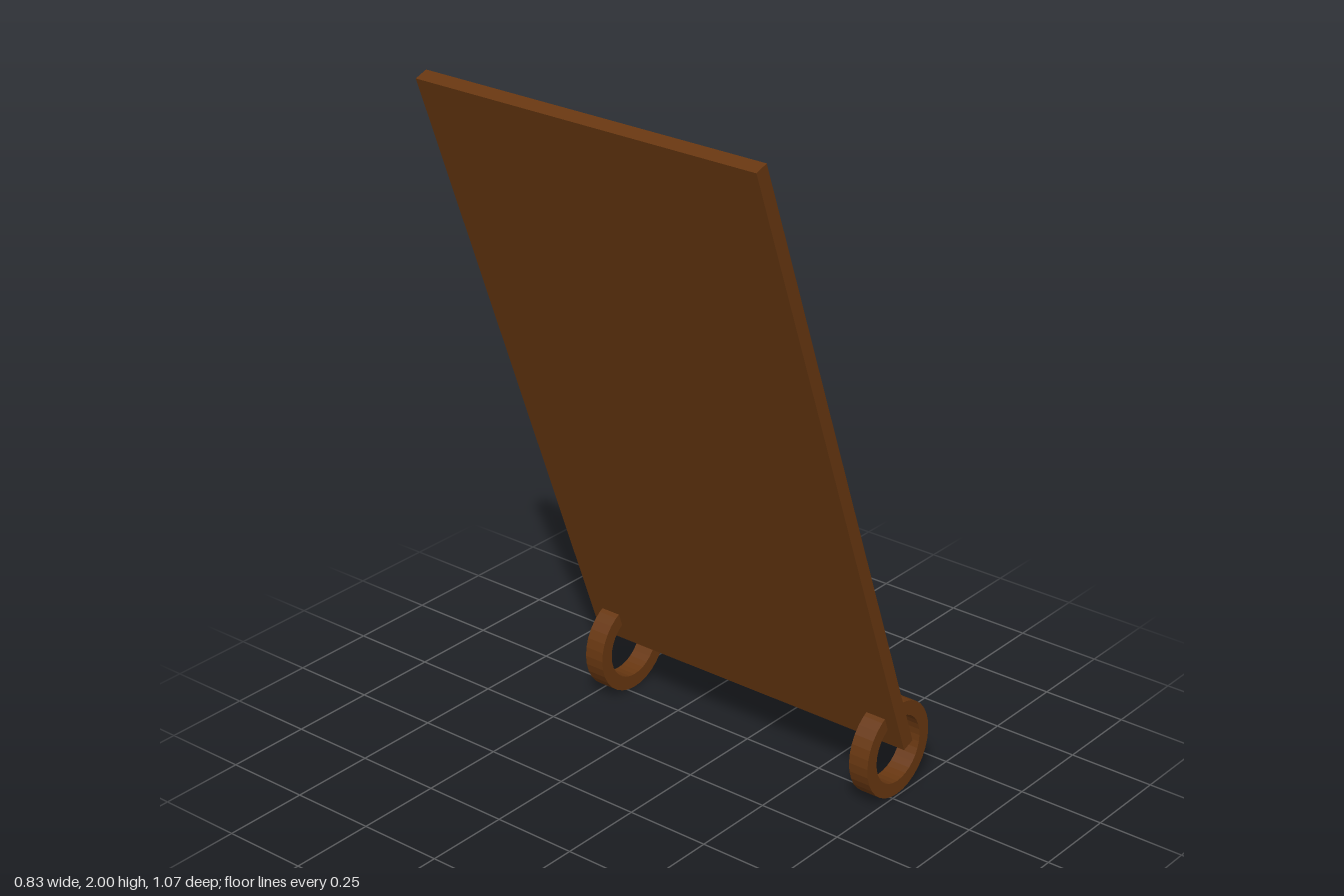
import * as THREE from 'three';

export function createModel() {
  const model = new THREE.Group();
  const wood = new THREE.MeshStandardMaterial({ color: 0x663610, flatShading: true });

  // Leaning board
  const board = new THREE.Mesh(new THREE.BoxGeometry(0.04, 1.937, 1.07), wood);
  board.name = 'board';
  board.position.set(-0.067, 1.083, 0);
  board.rotation.z = THREE.MathUtils.degToRad(20);
  model.add(board);

  // Flat-sided ring, extruded along z
  const radius = 0.139, width = 0.061;
  const outline = new THREE.Shape().absarc(0, 0, radius, 0, Math.PI * 2);
  outline.holes.push(new THREE.Path().absarc(0, 0, 0.098, 0, Math.PI * 2, true));
  const ringGeometry = new THREE.ExtrudeGeometry(outline, {
    depth: width, bevelEnabled: false, curveSegments: 16,
  });
  ringGeometry.translate(0, 0, -width / 2);

  // One ring near each end of the board's lower edge
  for (const side of [1, -1]) {
    const ring = new THREE.Mesh(ringGeometry, wood);
    ring.name = side > 0 ? 'frontRing' : 'backRing';
    ring.position.set(0.276, radius, side * 0.464);
    model.add(ring);
  }

  return model;
}
